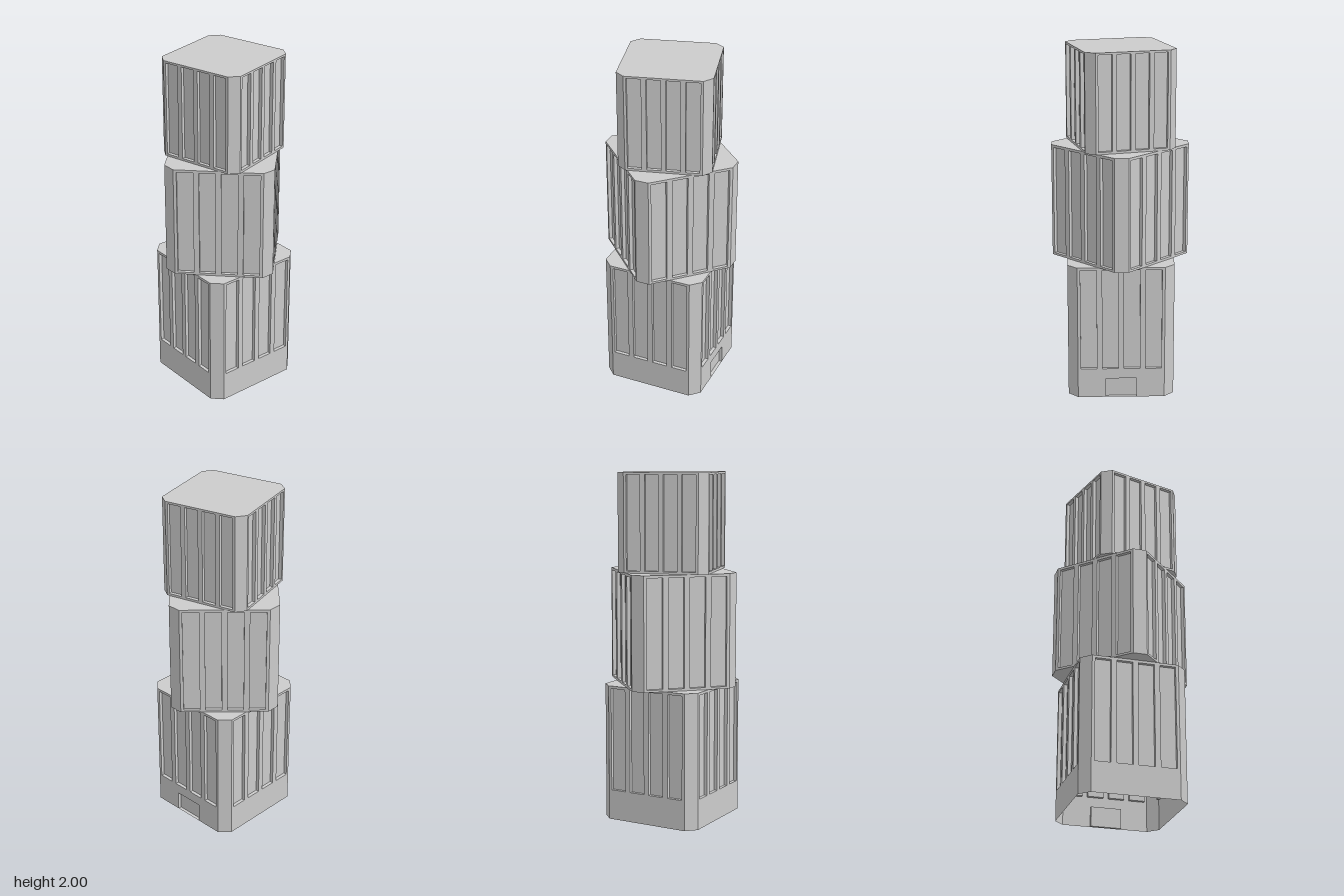
import * as THREE from 'three';

const material = new THREE.MeshStandardMaterial({ color: 0xcccccc, flatShading: true, side: THREE.DoubleSide });
const DEPTH = 0.02;

function part(name, geometry) {
  const mesh = new THREE.Mesh(geometry, material);
  mesh.name = name;
  return mesh;
}

function rectangle(PathType, x0, x1, y0, y1) {
  return new PathType([[x0, y0], [x1, y0], [x1, y1], [x0, y1]].map(p => new THREE.Vector2(...p)));
}

// Shallow tray set into a wall: a box without its front face
function recess(name, x0, x1, y0, y1) {
  const box = new THREE.BoxGeometry(x1 - x0, y1 - y0, DEPTH);
  const index = Array.from(box.index.array);
  index.splice(24, 6);
  box.setIndex(index);
  box.clearGroups();
  box.translate((x0 + x1) / 2, (y0 + y1) / 2, -DEPTH / 2);
  return part(name, box);
}

// Square with clipped corners, lying flat at the given height
function slab(name, half, edge, y, up) {
  const points = [];
  for (let k = 0; k < 4; k++) {
    for (const t of [-edge, edge]) {
      points.push(new THREE.Vector2(half, t).rotateAround(new THREE.Vector2(), k * Math.PI / 2));
    }
  }
  const geometry = new THREE.ShapeGeometry(new THREE.Shape(points));
  geometry.rotateX(up ? -Math.PI / 2 : Math.PI / 2);
  geometry.translate(0, y, 0);
  return part(name, geometry);
}

// Flat wall with four tall recessed windows and an optional doorway
function facade(edge, scale, y0, y1, w0, w1, hasDoor) {
  const group = new THREE.Group();
  group.name = 'facade';
  let outline = rectangle(THREE.Shape, -edge, edge, y0, y1);
  if (hasDoor) {
    const dw = 0.088, dh = 0.115;
    outline = new THREE.Shape([
      [-edge, y0], [-dw, y0], [-dw, y0 + dh], [dw, y0 + dh],
      [dw, y0], [edge, y0], [edge, y1], [-edge, y1],
    ].map(p => new THREE.Vector2(...p)));
    group.add(recess('door', -dw, dw, y0, y0 + dh));
  }
  for (let i = 0; i < 4; i++) {
    const x = (i - 1.5) * 0.124 * scale, w = 0.046 * scale;
    outline.holes.push(rectangle(THREE.Path, x - w, x + w, w0, w1));
    group.add(recess('window', x - w, x + w, w0, w1));
  }
  group.add(part('wall', new THREE.ShapeGeometry(outline)));
  return group;
}

function block({ name, scale, turn, y0, y1, w0, w1, door, floor }) {
  const group = new THREE.Group();
  group.name = name;
  const half = 0.305 * scale, edge = 0.249 * scale;
  for (let k = 0; k < 4; k++) {
    const side = new THREE.Group();
    side.name = 'side';
    side.rotation.y = k * Math.PI / 2;
    const front = facade(edge, scale, y0, y1, w0, w1, door === k);
    front.position.z = half;
    // Narrow clipped corner beside the wall
    const corner = part('corner', new THREE.PlaneGeometry((half - edge) * Math.SQRT2, y1 - y0));
    corner.position.set((half + edge) / 2, (y0 + y1) / 2, (half + edge) / 2);
    corner.rotation.y = Math.PI / 4;
    side.add(front, corner);
    group.add(side);
  }
  group.add(slab('roof', half, edge, y1, true));
  if (floor) group.add(slab('floor', half, edge, y0, false));
  group.rotation.y = THREE.MathUtils.degToRad(turn);
  return group;
}

export function createModel() {
  const model = new THREE.Group();
  model.name = 'tower';
  // Three stacked blocks, each twisted; the lowest is open underneath
  model.add(
    block({ name: 'lowerBlock', scale: 1, turn: 45, y0: 0, y1: 0.787, w0: 0.175, w1: 0.772, door: 1, floor: false }),
    block({ name: 'middleBlock', scale: 1, turn: 0, y0: 0.787, y1: 1.44, w0: 0.8, w1: 1.425, floor: true }),
    block({ name: 'upperBlock', scale: 0.86, turn: 60, y0: 1.44, y1: 2, w0: 1.453, w1: 1.988, floor: true }),
  );
  return model;
}
